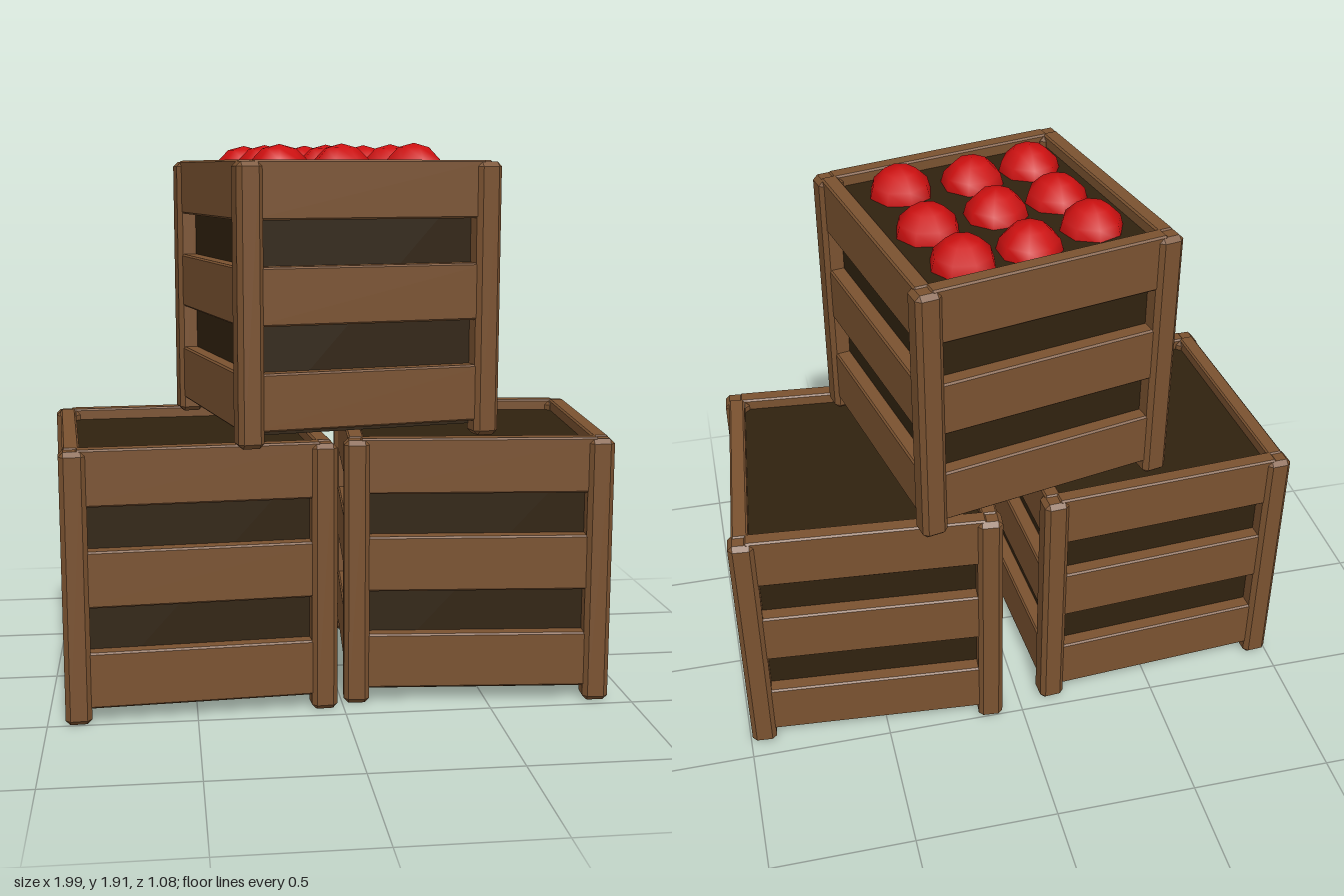
import * as THREE from 'three';
import { ConvexGeometry } from 'three/addons/geometries/ConvexGeometry.js';

const wood = new THREE.MeshStandardMaterial({ color: 0x7a5230 });
wood.name = 'brown wood';
const dark = new THREE.MeshStandardMaterial({ color: 0x30220f });
dark.name = 'dark lining';
const red = new THREE.MeshStandardMaterial({ color: 0xcc1010 });
red.name = 'apple red';

// Box with all edges and corners cut by b
function chamferBox(w, h, d, b) {
  const points = [];
  for (const sx of [-1, 1]) for (const sy of [-1, 1]) for (const sz of [-1, 1]) {
    const x = w / 2, y = h / 2, z = d / 2;
    points.push(
      new THREE.Vector3(sx * x, sy * (y - b), sz * (z - b)),
      new THREE.Vector3(sx * (x - b), sy * y, sz * (z - b)),
      new THREE.Vector3(sx * (x - b), sy * (y - b), sz * z));
  }
  return new ConvexGeometry(points);
}

function addMesh(parent, name, geometry, material, x, y, z) {
  const mesh = new THREE.Mesh(geometry, material);
  mesh.name = name;
  mesh.position.set(x, y, z);
  parent.add(mesh);
  return mesh;
}

const HALF = 0.46, POST = 0.088, HEIGHT = 0.925;
const postGeometry = chamferBox(POST, HEIGHT, POST, 0.016);
const slatGeometry = chamferBox(0.81, 0.192, 0.056, 0.006);
const liningGeometry = new THREE.BoxGeometry(0.79, 0.855, 0.79);

function createCrate(name, x, y, z, degrees) {
  const crate = new THREE.Group();
  crate.name = name;
  crate.position.set(x, y, z);
  crate.rotation.y = THREE.MathUtils.degToRad(degrees);

  // Corner posts, reaching below the floor as feet
  const p = HALF - POST / 2;
  for (const sx of [-1, 1]) for (const sz of [-1, 1]) {
    addMesh(crate, 'cornerPost', postGeometry, wood, sx * p, HEIGHT / 2, sz * p);
  }

  // Three slats on each of the four sides
  for (let side = 0; side < 4; side++) {
    const wall = new THREE.Group();
    wall.name = 'slatWall';
    wall.rotation.y = side * Math.PI / 2;
    for (const h of [0.148, 0.493, 0.834]) addMesh(wall, 'slat', slatGeometry, wood, 0, h, 0.418);
    crate.add(wall);
  }

  // Dark inside, seen through the gaps
  addMesh(crate, 'lining', liningGeometry, dark, 0, 0.035 + 0.855 / 2, 0);
  return crate;
}

export function createModel() {
  const model = new THREE.Group();
  model.name = 'stackedCrates';
  model.add(
    createCrate('rightCrate', -0.51, 0, 0.02, 3.8),
    createCrate('leftCrate', 0.5, 0, -0.017, -4.6),
    createCrate('topCrate', 0, 0.927, 0, 12));

  // Apples, half sunk in the top crate
  const apples = new THREE.Group();
  apples.name = 'apples';
  const appleGeometry = new THREE.SphereGeometry(0.112, 8, 6);
  const spots = [
    [-0.29, -0.17], [-0.06, -0.265], [0.165, -0.31],
    [-0.23, 0.04], [-0.01, -0.015], [0.23, -0.08],
    [-0.2, 0.29], [0.015, 0.23], [0.265, 0.21]];
  spots.forEach(([x, z], i) => {
    const apple = addMesh(apples, 'apple', appleGeometry, red, x, 1.797 + 0.003 * (i % 3), z);
    apple.rotation.y = i * 1.3;
  });
  model.add(apples);
  return model;
}
